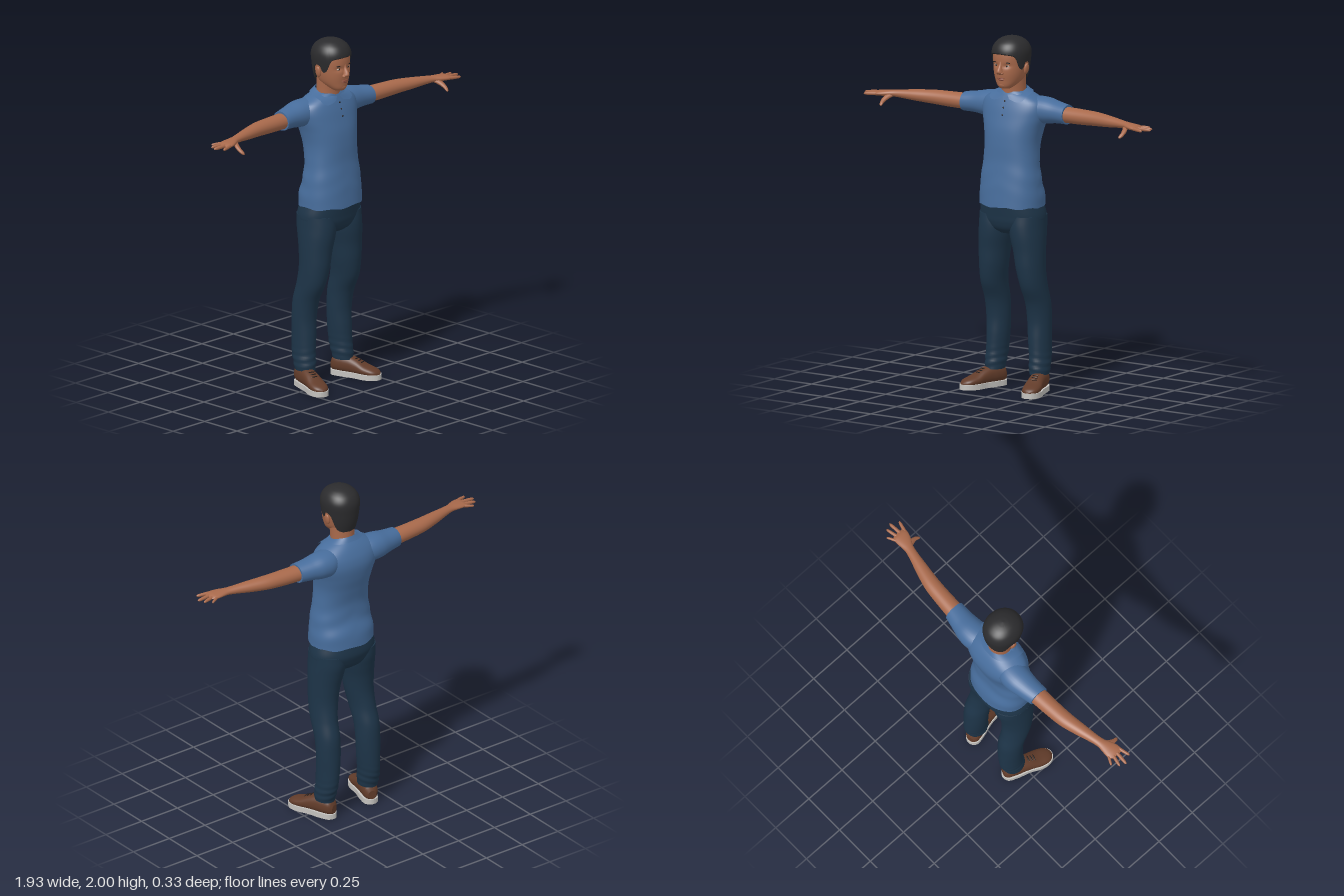
import * as THREE from 'three';

const mat = (name, color, side = THREE.FrontSide) => {
  const m = new THREE.MeshStandardMaterial({ color, side });
  m.name = name;
  return m;
};

// Smooth Hermite interpolation through rows sorted by their first value
function sample(rows, t) {
  let i = 0;
  while (i < rows.length - 2 && t > rows[i + 1][0]) i++;
  const a = rows[i], b = rows[i + 1], p = rows[i - 1] || a, n = rows[i + 2] || b;
  const h = b[0] - a[0], f = Math.min(1, Math.max(0, (t - a[0]) / h));
  return a.map((av, k) => {
    if (k === 0) return t;
    const ma = (b[k] - p[k]) / (b[0] - p[0]) * h, mb = (n[k] - av) / (n[0] - a[0]) * h;
    const f2 = f * f, f3 = f2 * f;
    return (2 * f3 - 3 * f2 + 1) * av + (f3 - 2 * f2 + f) * ma + (3 * f2 - 2 * f3) * b[k] + (f3 - f2) * mb;
  });
}

// Grid of fn(u, v) points; a closed grid wraps in u and gets end caps
function surface(nu, nv, fn, closed = true) {
  const pos = [], idx = [], w = closed ? nu : nu + 1;
  for (let j = 0; j <= nv; j++)
    for (let k = 0; k < w; k++) pos.push(...fn(k / nu, j / nv));
  for (let j = 0; j < nv; j++)
    for (let k = 0; k < nu; k++) {
      const a = j * w + k, b = j * w + (k + 1) % w;
      idx.push(a, b, b + w, a, b + w, a + w);
    }
  if (closed) for (const j of [0, nv]) {
    const base = pos.length / 3, c = [0, 0, 0];
    for (let k = 0; k < nu; k++) {
      const p = fn(k / nu, j / nv);
      pos.push(...p);
      p.forEach((v, i) => { c[i] += v / nu; });
    }
    pos.push(...c);
    for (let k = 0; k < nu; k++) {
      const a = base + k, b = base + (k + 1) % nu;
      idx.push(base + nu, ...(j ? [a, b] : [b, a]));
    }
  }
  const g = new THREE.BufferGeometry();
  g.setAttribute('position', new THREE.Float32BufferAttribute(pos, 3));
  g.setIndex(idx);
  g.computeVertexNormals();
  return g;
}

// Point on a ring [t, a, b, ra, rb] set across an axis (0 x, 1 y, 2 z)
function ringPoint(r, axis, ang, power = 2) {
  const bend = (c) => Math.sign(c) * Math.abs(c) ** (2 / power), p = [0, 0, 0];
  p[axis] = r[0];
  p[(axis + 1) % 3] = r[1] + r[3] * bend(Math.cos(ang));
  p[(axis + 2) % 3] = r[2] + r[4] * bend(Math.sin(ang));
  return p;
}

function loft(rows, axis, { power = 2, nu = 32, nv = 40, warp = (p) => p } = {}) {
  const t0 = rows[0][0], t1 = rows[rows.length - 1][0];
  return surface(nu, nv, (u, v) => {
    const ang = u * Math.PI * 2;
    return warp(ringPoint(sample(rows, t0 + (t1 - t0) * v), axis, ang, power), ang);
  });
}

// Rows across y are [y, z, x, rz, rx]
const TORSO = [[1.05, -.008, 0, .148, .188], [1.12, -.007, 0, .143, .187], [1.2, .002, 0, .127, .178],
  [1.3, 0, 0, .117, .165], [1.4, -.011, 0, .124, .162], [1.48, -.025, 0, .13, .175], [1.55, -.038, 0, .127, .195],
  [1.6, -.041, 0, .117, .2], [1.64, -.039, 0, .101, .182], [1.67, -.035, 0, .085, .13], [1.692, -.03, 0, .07, .08]];
const HIPS = [[.895, -.015, 0, .08, .08], [.92, -.015, 0, .11, .15], [.96, -.016, 0, .128, .192],
  [1.0, -.018, 0, .136, .198], [1.07, -.01, 0, .137, .183]];
const LEG = [[.1, -.055, .15, .062, .052], [.14, -.06, .148, .068, .057], [.2, -.07, .145, .073, .058],
  [.3, -.073, .14, .074, .063], [.4, -.073, .138, .073, .067], [.5, -.06, .137, .08, .068], [.6, -.025, .133, .09, .07],
  [.7, -.008, .124, .094, .078], [.8, -.007, .116, .102, .086], [.88, -.01, .106, .115, .095],
  [.94, -.015, .1, .122, .099], [1.0, -.018, .098, .12, .1]];
const HEAD = [[1.715, .06, 0, .03, .032], [1.73, .047, 0, .053, .05], [1.76, .02, 0, .085, .072], [1.8, .01, 0, .1, .085],
  [1.85, 0, 0, .11, .093], [1.9, 0, 0, .109, .095], [1.94, 0, 0, .099, .088], [1.975, 0, 0, .06, .055], [1.985, 0, 0, .02, .02]];
const HAIR = [[1.74, -.02, 0, .068, .072], [1.8, -.005, 0, .1, .09], [1.86, 0, 0, .114, .1], [1.92, 0, 0, .116, .104],
  [1.96, 0, 0, .098, .088], [1.985, 0, 0, .065, .06], [1.997, 0, 0, .03, .028], [2, 0, 0, .003, .003]];
const HAIRLINE = [[0, 1.915], [.75, 1.905], [.95, 1.88], [1.1, 1.835], [1.35, 1.825], [1.5, 1.86], [1.9, 1.85], [2.15, 1.77], [3.15, 1.75]];
// Rows across x are [x, y, z, ry, rz]
const SLEEVE = [[.06, 1.605, -.045, .055, .06], [.13, 1.59, -.06, .075, .082], [.2, 1.589, -.065, .073, .08],
  [.27, 1.587, -.06, .061, .069], [.345, 1.583, -.05, .054, .06]];
const ARM = [[.32, 1.582, -.05, .045, .052], [.45, 1.583, -.043, .043, .048], [.55, 1.585, -.034, .039, .045],
  [.65, 1.586, -.014, .032, .037], [.73, 1.587, .004, .024, .029], [.78, 1.587, .016, .019, .028],
  [.81, 1.586, .024, .018, .036], [.85, 1.584, .031, .016, .045], [.88, 1.583, .033, .012, .043], [.892, 1.582, .033, .004, .03]];
const THUMB = [[.025, .785, 1.583, .016, .012], [.06, .805, 1.566, .016, .013], [.09, .81, 1.548, .012, .011],
  [.11, .806, 1.535, .009, .008], [.117, .804, 1.531, .002, .002]];
// Pairs of base z, then tip x and tip z
const FINGERS = [[0, .915, -.03, .009], [.021, .95, .002, .01], [.044, .965, .037, .0105], [.064, .938, .085, .01]];
const NOSE = [[1.795, .104, 0, .01, .012], [1.806, .113, 0, .021, .019], [1.82, .11, 0, .026, .015],
  [1.85, .102, 0, .015, .009], [1.875, .097, 0, .012, .008]];
// Rows across z are [z, x, y, rx, ry]
const SHOE = [[-.13, 0, .055, .022, .025], [-.115, 0, .066, .038, .045], [-.06, 0, .068, .045, .051], [-.02, 0, .066, .045, .05],
  [.03, 0, .058, .047, .042], [.08, 0, .046, .051, .03], [.13, 0, .038, .045, .022], [.155, 0, .033, .028, .015], [.165, 0, .03, .008, .006]];

export function createModel() {
  const model = new THREE.Group();
  const skin = mat('skin', 0xa8694b), shirt = mat('shirt blue', 0x476d9c, THREE.DoubleSide), denim = mat('trouser navy', 0x1d3448);
  const hair = mat('hair black', 0x2b2b2d), leather = mat('shoe brown', 0x623c2a), rubber = mat('sole white', 0xc4c2be);
  const lip = mat('lip', 0x8a4d3c), white = mat('eye white', 0xb8aca2), dark = mat('dark detail', 0x231c1a);
  const add = (parent, name, geo, m) => {
    const mesh = new THREE.Mesh(geo, m);
    mesh.name = name;
    parent.add(mesh);
    return mesh;
  };
  const blob = (parent, name, m, p, s, rz = 0) => {
    const b = add(parent, name, new THREE.SphereGeometry(1, 20, 14), m);
    b.position.set(...p);
    b.scale.set(...s);
    b.rotation.z = rz;
  };

  // Shirt body with soft folds at the waist, and trouser seat
  add(model, 'shirtBody', loft(TORSO, 1, { power: 2.3, nu: 56, nv: 60, warp: ([x, y, z], a) => {
    const k = 1 + .012 * Math.sin(y * 55 + Math.abs(x) * 22) * Math.exp(-(((y - 1.2) / .1) ** 2)) * (z < 0 ? 1 : .4);
    return [x * k, y + (y < 1.06 ? .004 * Math.sin(a * 7) : 0), z * k];
  } }), shirt);
  add(model, 'trouserSeat', loft(HIPS, 1, { power: 2.2, nu: 48 }), denim);

  // Collar folding from the neck down onto the shoulders, open at the front
  const drop = [[0, 1.655], [.4, 1.634], [.85, 1.662], [1.5, 1.678], [3.15, 1.688]];
  add(model, 'collar', surface(60, 6, (u, v) => {
    const a = .12 + u * (Math.PI * 2 - .24), d = Math.min(a, Math.PI * 2 - a);
    const low = ringPoint(sample(TORSO, sample(drop, d)[1]), 1, a, 2.3);
    const y = 1.698 - .022 * Math.cos(a), s = 1 - v;
    const top = [.074 * Math.sin(a), y, -.02 + .075 * Math.cos(a)];
    low[0] *= 1.04; low[1] += .006; low[2] += .007 * Math.cos(a);
    return top.map((t, i) => low[i] + (t - low[i]) * s);
  }, false), shirt);

  // Placket and buttons following the chest
  const chest = (y) => { const r = sample(TORSO, y); return r[1] + r[3]; };
  add(model, 'placket', surface(2, 8, (u, v) => {
    const y = 1.55 + v * .115;
    return [(u - .5) * .03, y, chest(y) + .004];
  }, false), shirt);
  for (const y of [1.565, 1.605, 1.64]) blob(model, 'button', dark, [0, y, chest(y) + .005], [.005, .005, .003]);

  // Neck and head with shallow eye sockets
  add(model, 'neck', loft([[1.62, -.025, 0, .07, .07], [1.7, -.021, 0, .067, .067], [1.8, -.012, 0, .075, .07]], 1), skin);
  add(model, 'head', loft(HEAD, 1, { power: 2.15, nu: 56, nv: 56, warp: ([x, y, z]) => {
    const socket = Math.exp(-(((Math.abs(x) - .036) / .02) ** 2) - ((y - 1.845) / .013) ** 2);
    return [x, y, z > 0 ? z - .008 * socket : z];
  } }), skin);
  add(model, 'nose', loft(NOSE, 1, { nu: 20, nv: 20 }), skin);
  blob(model, 'upperLip', lip, [0, 1.775, .104], [.025, .005, .009]);
  blob(model, 'lowerLip', lip, [0, 1.766, .102], [.021, .006, .009]);
  blob(model, 'chin', skin, [0, 1.737, .085], [.028, .02, .018]);

  // Short hair with a hairline that changes around the head
  add(model, 'hair', surface(72, 36, (u, v) => {
    const a = u * Math.PI * 2, d = Math.min(a, Math.PI * 2 - a);
    const y0 = sample(HAIRLINE, d)[1], e = 1 - (1 - v) ** 1.6;
    return ringPoint(sample(HAIR, y0 + (2 - y0) * e), 1, a, 2.1);
  }), hair);

  // Sole outline, wider at the ball of the foot
  const outline = [[0, -.137], [.036, -.118], [.046, -.06], [.046, .02], [.055, .085], [.047, .135], [.02, .166]];
  const loop = [...outline, ...outline.slice(1).reverse().map(([x, z]) => [-x, z])];
  const soleCurve = new THREE.CatmullRomCurve3(loop.map(([x, z]) => new THREE.Vector3(x, -z, 0)), true);
  const soleShape = new THREE.Shape(soleCurve.getPoints(56).slice(0, -1).map((p) => new THREE.Vector2(p.x, p.y)));
  const sole = new THREE.ExtrudeGeometry(soleShape, { depth: .03, bevelEnabled: false }).rotateX(-Math.PI / 2);

  // Mirrored parts: face features, arms, legs and shoes
  for (const s of [1, -1]) {
    const side = new THREE.Group();
    side.name = s > 0 ? 'leftSide' : 'rightSide';
    side.scale.x = s;
    model.add(side);

    blob(side, 'eye', white, [.036, 1.845, .092], [.013, .006, .007]);
    blob(side, 'iris', dark, [.035, 1.845, .096], [.006, .0058, .005]);
    blob(side, 'eyebrow', dark, [.038, 1.864, .098], [.02, .0035, .006], -.08);
    blob(side, 'nostrilWing', skin, [.014, 1.804, .112], [.009, .008, .012]);
    blob(side, 'ear', skin, [.094, 1.822, -.008], [.011, .032, .019], -.15);

    add(side, 'sleeve', loft(SLEEVE, 0, { power: 2.1 }), shirt);
    add(side, 'arm', loft(ARM, 0), skin);
    add(side, 'thumb', loft(THUMB, 2, { nu: 14, nv: 16 }), skin);
    for (const [z, tx, tz, r] of FINGERS) {
      const rows = [[0, 1], [.5, .95], [.85, .8], [.96, .5], [1, .1]].map(([f, k]) =>
        [.855 + (tx - .855) * f, 1.583 - .004 * f, z + (tz - z) * f, r * k, r * k]);
      add(side, 'finger', loft(rows, 0, { nu: 14, nv: 16 }), skin);
    }

    // Trouser leg with bunched folds above the shoe
    add(side, 'trouserLeg', loft(LEG, 1, { nu: 40, nv: 90, warp: ([x, y, z], a) => {
      const k = .035 * Math.sin(y * 150 + 2 * Math.sin(a)) * Math.exp(-(((y - .15) / .06) ** 2));
      return [x + (x - .147) * k, y, z + (z + .06) * k];
    } }), denim);

    const foot = new THREE.Group();
    foot.name = 'shoe';
    foot.position.set(.172, 0, .003);
    foot.rotation.y = .31;
    side.add(foot);
    add(foot, 'sole', sole, rubber);
    add(foot, 'upper', loft(SHOE, 2, { power: 2.3 }), leather);
    for (const [y, z] of [[.104, .022], [.096, .04], [.087, .057]])
      blob(foot, 'lace', dark, [0, y, z], [.02, .003, .004]);
  }
  return model;
}
